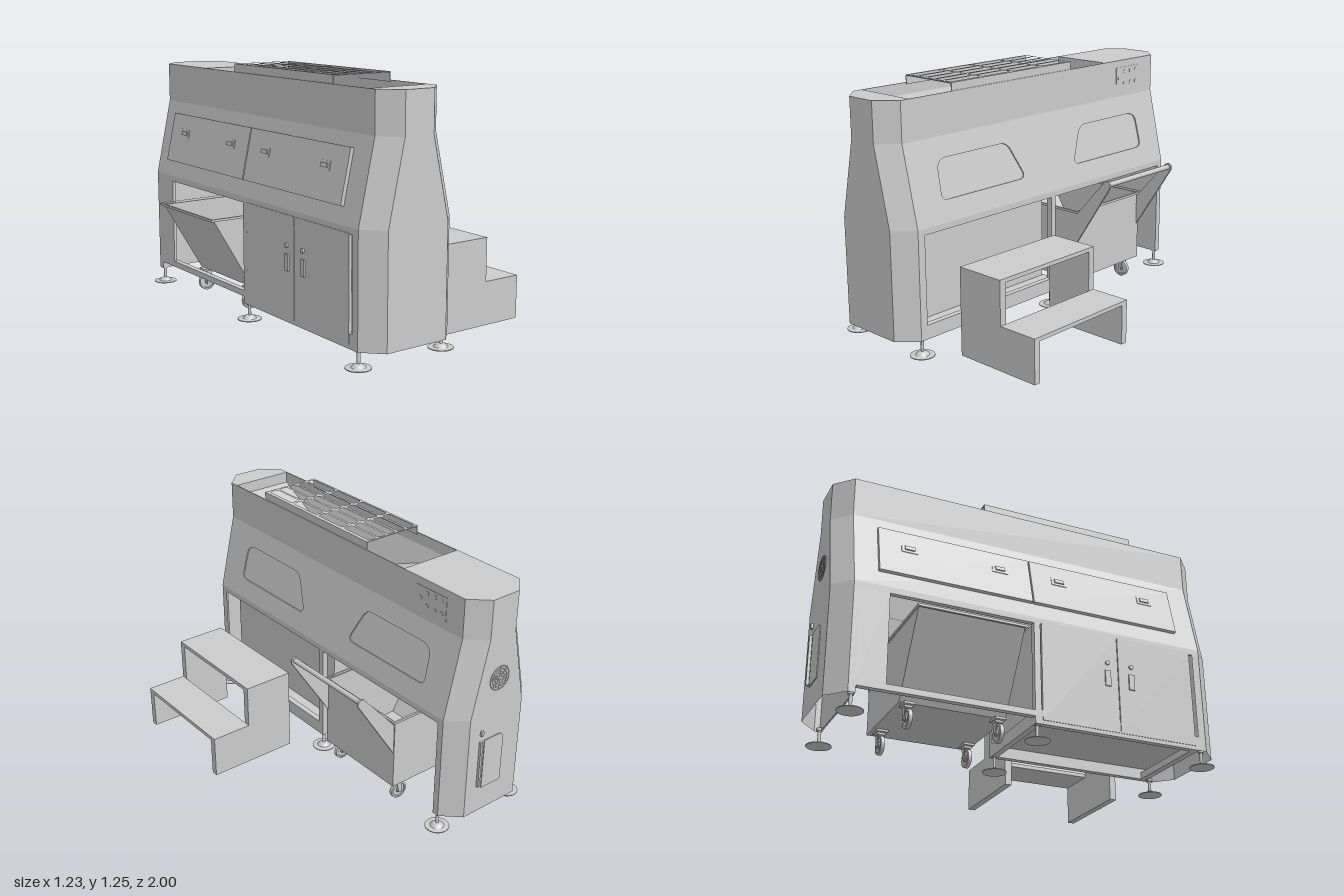
import * as THREE from 'three';

const mat = new THREE.MeshStandardMaterial({ color: 0xcccccc, flatShading: true });
const thin = new THREE.MeshStandardMaterial({ color: 0xcccccc, flatShading: true, side: THREE.DoubleSide });
const smooth = new THREE.MeshStandardMaterial({ color: 0xcccccc });

export function createModel() {
  const root = new THREE.Group();

  const add = (name, geo, parent = root, m = mat) => {
    const mesh = new THREE.Mesh(geo, m);
    mesh.name = name;
    parent.add(mesh);
    return mesh;
  };
  const group = (name, x = 0, y = 0, z = 0) => {
    const g = new THREE.Group();
    g.name = name;
    g.position.set(x, y, z);
    root.add(g);
    return g;
  };
  // box given by its limits
  const box = (name, x0, x1, y0, y1, z0, z1, parent) => {
    const mesh = add(name, new THREE.BoxGeometry(x1 - x0, y1 - y0, z1 - z0), parent);
    mesh.position.set((x0 + x1) / 2, (y0 + y1) / 2, (z0 + z1) / 2);
    return mesh;
  };
  const shapeOf = pts => new THREE.Shape(pts.map(p => new THREE.Vector2(p[0], p[1])));
  const rect = (x0, x1, z0, z1) => [[x0, z0], [x1, z0], [x1, z1], [x0, z1]];
  const extrude = (shape, depth) => new THREE.ExtrudeGeometry(shape, { depth, bevelEnabled: false, curveSegments: 6 });
  // horizontal plate from an x-z outline, with optional outlines for holes
  const plate = (name, pts, y, h, holes = [], parent) => {
    const flip = p => p.map(([x, z]) => [x, -z]);
    const s = shapeOf(flip(pts));
    holes.forEach(p => s.holes.push(shapeOf(flip(p))));
    const mesh = add(name, extrude(s, h).rotateX(-Math.PI / 2), parent);
    mesh.position.y = y;
    return mesh;
  };
  // upright plate from an x-y outline
  const sidePlate = (name, pts, z, t, parent) => {
    const mesh = add(name, extrude(shapeOf(pts), t), parent);
    mesh.position.z = z;
    return mesh;
  };
  // sheet walls joining rows of points; keep(row, side) picks the faces
  const loft = (rings, keep = () => true) => {
    const v = [];
    for (let r = 0; r + 1 < rings.length; r++) {
      const n = rings[r].length;
      for (let i = 0; i < n; i++) {
        if (!keep(r, i)) continue;
        const j = (i + 1) % n, a = rings[r][i], b = rings[r][j], c = rings[r + 1][j], d = rings[r + 1][i];
        v.push(...a, ...b, ...c, ...a, ...c, ...d);
      }
    }
    const g = new THREE.BufferGeometry();
    g.setAttribute('position', new THREE.Float32BufferAttribute(v, 3));
    g.computeVertexNormals();
    return g;
  };
  const at = (pts, y) => pts.map(([x, z]) => [x, y, z]);

  // housing: chamfered footprint that narrows upward; the windowed slope is added below
  const C = 0.09, X0 = -0.49, X1 = 0.025, T0 = -0.405, T1 = -0.065;
  const outline = (a, b) => [[a, 0.91], [a + C, 1], [b - C, 1], [b, 0.91], [b, -0.9], [b - C, -0.985], [a + C, -0.985], [a, -0.9]];
  const wide = outline(X0, X1), narrow = outline(T0, T1);
  const rows = [at(wide, 0.59), at(wide, 0.62), at(narrow, 1.01), at(narrow, 1.208)];
  add('housing', loft(rows, (row, i) => row !== 1 || i !== 3), root, thin);
  plate('topPlate', narrow, 1.2, 0.008, [rect(-0.4, -0.07, -0.5, 0.86)]);

  // sheet ends reaching down to the frame
  const frontWrap = [[X0, 0.87], ...wide.slice(0, 4), [X1, 0.87]];
  const backWrap = [[X1, -0.87], ...wide.slice(4), [X0, -0.87]];
  for (const [name, pts] of [['frontEnd', frontWrap], ['backEnd', backWrap]]) {
    add(name, loft([at(pts, 0.08), at(pts, 0.59)], (row, i) => i < 5), root, thin);
  }
  box('backEndInnerWall', X0, X1, 0.08, 0.59, -0.874, -0.866);

  // sloping side with two recessed windows, mirrored about the middle
  const rightSlope = group('windowSide', X1, 0.62, 0);
  rightSlope.rotation.z = Math.atan2(0.09, 0.39);
  const slope = shapeOf(rect(-0.91, 0.9, 0, Math.hypot(0.09, 0.39)));
  for (const s of [1, -1]) {
    const w = new THREE.Shape();
    w.moveTo(s * 0.22, 0.105);
    w.lineTo(s * 0.7, 0.105);
    w.quadraticCurveTo(s * 0.735, 0.105, s * 0.735, 0.14);
    w.lineTo(s * 0.73, 0.25);
    w.quadraticCurveTo(s * 0.725, 0.295, s * 0.67, 0.298);
    w.lineTo(s * 0.31, 0.298);
    w.quadraticCurveTo(s * 0.27, 0.298, s * 0.25, 0.255);
    w.lineTo(s * 0.195, 0.14);
    w.quadraticCurveTo(s * 0.185, 0.105, s * 0.22, 0.105);
    slope.holes.push(w);
    add('window', extrude(w, 0.002).rotateY(Math.PI / 2), rightSlope).position.x = -0.008;
  }
  add('slopingPanel', extrude(slope, 0.006).rotateY(Math.PI / 2), rightSlope).position.x = -0.006;

  // sunken feed hopper: short upright rim, then sloping sides
  const mouth = rect(-0.4, -0.07, -0.5, 0.86), throat = rect(-0.335, -0.14, 0, 0.36);
  add('hopper', loft([at(mouth, 1.205), at(mouth, 1.15), at(throat, 0.97)]), root, thin);
  plate('hopperFloor', throat, 0.962, 0.008);

  // safety grid over the hopper
  const cells = [];
  const r = 0.008;
  for (let i = 0; i < 5; i++) for (let k = 0; k < 4; k++) {
    const a = -0.382 + i * 0.061, b = a + 0.047, c = -0.22 + k * 0.205, d = c + 0.188;
    cells.push([[a + r, c], [b - r, c], [b, c + r], [b, d - r], [b - r, d], [a + r, d], [a, d - r], [a, c + r]]);
  }
  plate('safetyGrid', rect(-0.395, -0.07, -0.23, 0.6), 1.242, 0.005, cells);
  for (const x of [-0.395, -0.074]) box('gridSide', x, x + 0.004, 1.2, 1.245, -0.23, 0.6);

  // lower frame and cabinet bay
  for (const x of [X0, X1 - 0.03]) {
    box('middlePost', x, x + 0.03, 0.08, 0.59, -0.012, 0.02);
    box('bottomRail', x, x + 0.03, 0.115, 0.15, 0, 0.87);
    box('lowerRail', x, x + 0.03, 0.08, 0.115, 0, 0.87);
    box('topRail', x + 0.002, x + 0.028, 0.59, 0.615, -0.87, 0.87);
  }
  box('bayRail', X0, X0 + 0.03, 0.115, 0.145, -0.87, 0);
  box('crossRail', X0, X1, 0.08, 0.145, -0.012, 0.02);
  box('endCrossRail', X0, X1, 0.08, 0.115, 0.835, 0.87);
  box('cabinetFloor', X0 + 0.02, X1 - 0.02, 0.135, 0.145, 0, 0.87);
  box('cabinetBackPanel', -0.07, -0.06, 0.135, 0.6, 0, 0.87);
  box('cabinetDivider', X0 + 0.01, -0.06, 0.135, 0.6, 0, 0.012);
  box('baySidePanel', X0, X0 + 0.015, 0.145, 0.59, -0.87, -0.73);

  // cabinet doors with latches
  for (const [z0, z1, hz] of [[0.025, 0.432, 0.375], [0.436, 0.85, 0.505]]) {
    box('cabinetDoor', X0 - 0.003, X0 + 0.012, 0.1, 0.595, z0, z1);
    box('doorLatch', X0 - 0.01, X0, 0.33, 0.41, hz - 0.015, hz + 0.015);
    const lock = add('doorLock', new THREE.CylinderGeometry(0.011, 0.011, 0.012, 16), root, smooth);
    lock.rotation.z = Math.PI / 2;
    lock.position.set(X0 - 0.006, 0.45, hz);
  }

  // sloping access doors
  const leftSlope = group('accessDoors', X0, 0.62, 0);
  leftSlope.rotation.z = -Math.atan2(0.085, 0.39);
  for (const [z0, z1] of [[-0.785, -0.015], [-0.008, 0.785]]) {
    box('accessDoor', -0.018, 0.002, 0.08, 0.336, z0, z1, leftSlope);
    for (const z of [z0 + 0.15, z1 - 0.16]) {
      box('accessHandlePlate', -0.021, -0.017, 0.215, 0.26, z - 0.04, z + 0.04, leftSlope);
      box('accessHandleGrip', -0.027, -0.02, 0.228, 0.248, z - 0.025, z + 0.025, leftSlope);
    }
  }

  // control panel and buttons
  box('controlPanel', T1 - 0.002, T1 + 0.002, 1.05, 1.17, -0.79, -0.595);
  const spots = [[-0.62, 1.11]];
  for (const z of [-0.665, -0.715, -0.76]) for (const y of [1.08, 1.145]) spots.push([z, y]);
  for (const [z, y] of spots) {
    const b = add('controlButton', new THREE.CylinderGeometry(0.011, 0.011, 0.008, 20), root, smooth);
    b.rotation.z = Math.PI / 2;
    b.position.set(T1, y, z);
  }

  // fan grille, service door and handle on the back face
  const fan = group('fanGrille', -0.235, 0.79, -0.985);
  for (const radius of [0.015, 0.03, 0.045, 0.06]) add('fanRing', new THREE.TorusGeometry(radius, 0.003, 6, 32), fan, smooth);
  for (let i = 0; i < 4; i++) {
    add('fanSpoke', new THREE.BoxGeometry(0.12, 0.005, 0.006), fan).rotation.z = i * Math.PI / 4;
  }
  const hatch = new THREE.Shape();
  hatch.moveTo(-0.165, 0.21);
  hatch.lineTo(-0.165, 0.48);
  hatch.lineTo(-0.25, 0.48);
  hatch.quadraticCurveTo(-0.29, 0.48, -0.29, 0.44);
  hatch.lineTo(-0.29, 0.21);
  add('serviceDoor', extrude(hatch, 0.005)).position.z = -0.989;
  box('serviceHandle', -0.145, -0.133, 0.23, 0.48, -0.998, -0.985);
  box('serviceLock', -0.15, -0.135, 0.515, 0.54, -0.996, -0.985);

  // levelling feet
  const footProfile = [[0, 0], [0.06, 0], [0.06, 0.004], [0.034, 0.006], [0.02, 0.019], [0.008, 0.022], [0.008, 0.075], [0.014, 0.075], [0.014, 0.09], [0, 0.09]]
    .map(p => new THREE.Vector2(...p));
  for (const x of [-0.47, 0.005]) for (const z of [0.89, 0.005, -0.88]) {
    add('levellingFoot', new THREE.LatheGeometry(footProfile, 24), root).position.set(x, 0, z);
  }

  // collecting cart: open bin with one sloping end
  const cart = group('cart');
  const ZA = -0.632, ZB = -0.112, t = 0.008;
  const bin = [[-0.598, 0.492], [-0.378, 0.12], [0.075, 0.12], [0.075, 0.492]];
  for (const z of [ZA, ZB - t]) sidePlate('cartSide', bin, z, t, cart);
  sidePlate('cartSlope', [bin[0], bin[1], [-0.368, 0.12], [-0.588, 0.492]], ZA, ZB - ZA, cart);
  box('cartFloor', -0.378, 0.075, 0.12, 0.128, ZA, ZB, cart);
  box('cartEnd', 0.067, 0.075, 0.12, 0.492, ZA, ZB, cart);
  plate('cartRim', rect(-0.615, 0.09, -0.64, -0.104), 0.488, 0.012, [rect(-0.604, 0.08, -0.63, -0.114)], cart);

  // cart push handle
  const arm = new THREE.Shape();
  arm.moveTo(0.075, 0.315);
  arm.lineTo(0.298, 0.658);
  arm.absarc(0.28, 0.672, 0.022, -0.6, 2.4, false);
  arm.lineTo(0.09, 0.492);
  arm.lineTo(0.075, 0.492);
  for (const z of [-0.627, -0.122]) {
    add('handleArm', extrude(arm, 0.01), cart).position.z = z;
  }
  const bar = add('handleBar', new THREE.CylinderGeometry(0.013, 0.013, 0.51, 16), cart, smooth);
  bar.rotation.x = Math.PI / 2;
  bar.position.set(0.28, 0.674, -0.37);

  // swivel casters with dished wheels
  const wheelProfile = [[0.006, -0.012], [0.014, -0.012], [0.016, -0.006], [0.034, -0.006], [0.036, -0.011], [0.046, -0.009],
    [0.046, 0.009], [0.036, 0.011], [0.034, 0.006], [0.016, 0.006], [0.014, 0.012], [0.006, 0.012]].map(p => new THREE.Vector2(...p));
  for (const x of [-0.372, 0]) for (const z of [-0.145, -0.587]) {
    const c = group('caster', x, 0, z);
    const wheel = add('casterWheel', new THREE.LatheGeometry(wheelProfile, 28), c);
    wheel.rotation.x = Math.PI / 2;
    wheel.position.y = 0.048;
    const fork = [[-0.008, 0.04], [0.008, 0.04], [0.024, 0.104], [-0.008, 0.104]];
    for (const s of [-1, 1]) sidePlate('casterFork', fork, s * 0.016 - 0.002, 0.004, c);
    box('casterCrown', -0.012, 0.026, 0.1, 0.11, -0.02, 0.02, c);
    box('casterMount', -0.03, 0.035, 0.11, 0.121, -0.028, 0.028, c);
  }

  // two-tread step stool
  const steps = group('steps');
  const side = [[0.142, 0], [0.614, 0], [0.614, 0.22], [0.403, 0.22], [0.403, 0.44], [0.142, 0.44]];
  for (const z of [0.127, 0.732]) sidePlate('stepSide', side, z, 0.035, steps);
  box('upperTread', 0.142, 0.403, 0.42, 0.44, 0.16, 0.735, steps);
  box('lowerTread', 0.403, 0.614, 0.2, 0.22, 0.16, 0.735, steps);

  return root;
}
